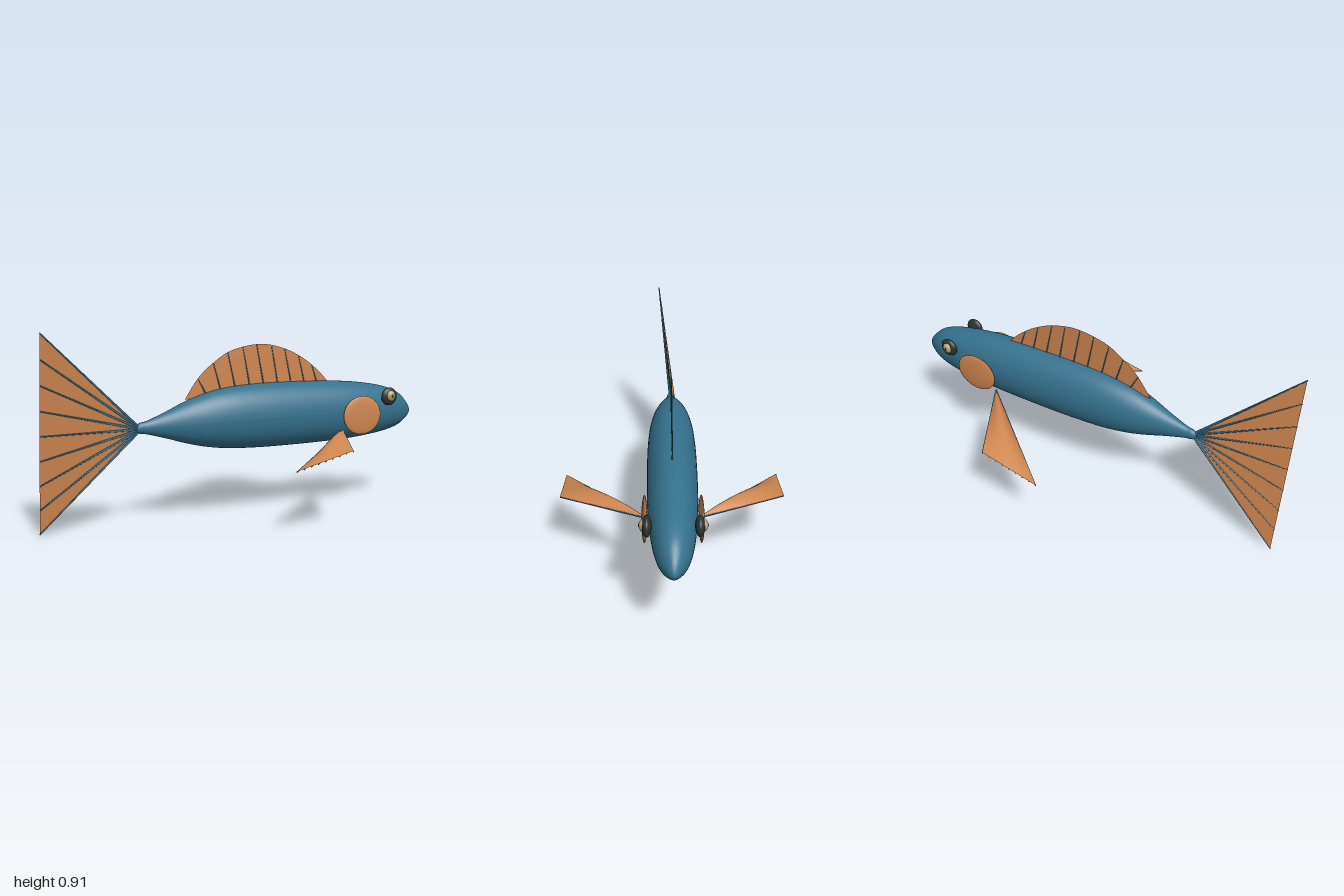
import * as THREE from 'three';

const mat = (name, color, side = THREE.FrontSide) => {
  const m = new THREE.MeshStandardMaterial({ color, side });
  m.name = name;
  return m;
};
const V = (x, y, z) => new THREE.Vector3(x, y, z);

export function createModel() {
  const blue = mat('scale blue', 0x35728e);
  const orange = mat('fin orange', 0xd08750, THREE.DoubleSide);
  const dark = mat('eye dark', 0x2b342f);
  const cream = mat('iris cream', 0xb9a672);

  const fish = new THREE.Group();
  fish.name = 'fish';
  const add = (parent, name, geometry, material) => {
    const m = new THREE.Mesh(geometry, material);
    m.name = name;
    parent.add(m);
    return m;
  };
  const group = (name) => {
    const g = new THREE.Group();
    g.name = name;
    fish.add(g);
    return g;
  };
  const ellipsoid = (parent, name, material, c, r) => {
    const m = add(parent, name, new THREE.SphereGeometry(1, 32, 20), material);
    m.position.set(...c);
    m.scale.set(...r);
  };
  // Thin tapered spine between two points
  const spine = (parent, a, b, r0, r1) => {
    const d = b.clone().sub(a);
    const m = add(parent, 'finRay', new THREE.CylinderGeometry(r1, r0, d.length(), 6), blue);
    m.position.copy(a).addScaledVector(d, 0.5);
    m.quaternion.setFromUnitVectors(V(0, 1, 0), d.normalize());
  };
  // Curved sheet from a rule f(u, v)
  const sheet = (f, nu, nv) => {
    const g = new THREE.PlaneGeometry(1, 1, nu, nv);
    const p = g.attributes.position;
    for (let i = 0; i < p.count; i++) {
      const q = f(p.getX(i) + 0.5, p.getY(i) + 0.5);
      p.setXYZ(i, q.x, q.y, q.z);
    }
    g.computeVertexNormals();
    return g;
  };

  // Body: lathed along x, narrowed sideways, centre line raised where it is deep
  const profile = [
    [0.001, -0.555], [0.018, -0.55], [0.027, -0.53], [0.032, -0.5], [0.065, -0.4], [0.102, -0.3],
    [0.13, -0.2], [0.149, -0.08], [0.157, 0.06], [0.159, 0.2], [0.157, 0.4], [0.15, 0.58],
    [0.136, 0.72], [0.117, 0.83], [0.09, 0.91], [0.05, 0.965], [0.022, 0.99], [0.001, 1],
  ].map(([r, x]) => new THREE.Vector2(r, x));
  const points = new THREE.SplineCurve(profile).getPoints(68)
    .map((p) => new THREE.Vector2(Math.max(p.x, 0.0005), p.y));
  const body = new THREE.LatheGeometry(points, 48);
  body.rotateZ(-Math.PI / 2);
  const bp = body.attributes.position;
  for (let i = 0; i < bp.count; i++) {
    const y = bp.getY(i), z = bp.getZ(i);
    bp.setY(i, 0.46 + y + 0.175 * Math.hypot(y, z));
    bp.setZ(i, z * 0.73);
  }
  body.computeVertexNormals();
  add(fish, 'body', body, blue);

  // Tail: flat fan, leaning a little sideways
  const tail = group('tail');
  const tailRoot = V(-0.53, 0.46, 0);
  const tailEdge = (u) => V(-1, 0.003 + 0.91 * u, -0.058 + 0.116 * u);
  add(tail, 'tailFin', sheet((u, v) => tailRoot.clone().lerp(tailEdge(u), Math.max(v, 0.001)), 8, 4), orange);
  for (let i = 0; i < 9; i++) {
    const tip = tailEdge(i / 8);
    tip.z += 0.002;
    spine(tail, V(-0.53, 0.46, 0.002), tip, 0.006, 0.003);
  }

  // Dorsal fin: arched sheet with leaning spines on the middle plane
  const dorsal = group('dorsal');
  const arch = new THREE.SplineCurve([
    [-0.31, 0.585], [-0.24, 0.685], [-0.16, 0.755], [-0.06, 0.812], [0.09, 0.838],
    [0.22, 0.815], [0.33, 0.765], [0.42, 0.7], [0.485, 0.635],
  ].map((p) => new THREE.Vector2(...p)));
  const outline = new THREE.Shape([
    ...arch.getPoints(40), new THREE.Vector2(0.4, 0.6), new THREE.Vector2(-0.15, 0.6),
  ]);
  add(dorsal, 'dorsalFin', new THREE.ShapeGeometry(outline), orange);
  const archPoints = arch.getPoints(200);
  for (let i = 0; i < 9; i++) {
    const x = -0.24 + i * 0.078;
    const top = archPoints.find((p) => p.x >= x);
    spine(dorsal, V(x + 0.05, 0.585, 0), V(top.x, top.y - 0.003, 0), 0.004, 0.002);
  }

  for (const s of [1, -1]) {
    const side = s > 0 ? 'left' : 'right';

    // Pectoral fin: domed triangle with straight spines beneath
    const fin = group(side + 'PectoralFin');
    const root = V(0.505, 0.4, s * 0.115);
    const edge = (u) => V(0.295 * u, 0.306 + 0.068 * u, s * 0.52);
    add(fin, 'finSheet', sheet((u, v) => {
      const q = root.clone().lerp(edge(u), Math.max(v, 0.001));
      q.y += 0.038 * Math.sin(Math.PI * u) * Math.sin(Math.PI * v);
      return q;
    }, 16, 16), orange);
    for (let i = 0; i < 9; i++) {
      const a = root.clone(), b = edge(i / 8);
      a.y -= 0.004;
      b.y -= 0.003;
      spine(fin, a, b, 0.004, 0.003);
    }

    // Gill cover and eye
    ellipsoid(fish, side + 'GillCover', orange, [0.615, 0.47, s * 0.122], [0.112, 0.098, 0.013]);
    const eye = group(side + 'Eye');
    ellipsoid(eye, 'eyeball', dark, [0.788, 0.556, s * 0.109], [0.046, 0.046, 0.021]);
    ellipsoid(eye, 'iris', cream, [0.788, 0.56, s * 0.122], [0.025, 0.028, 0.019]);
    ellipsoid(eye, 'pupil', dark, [0.788, 0.56, s * 0.128], [0.012, 0.016, 0.0155]);
  }
  return fish;
}
